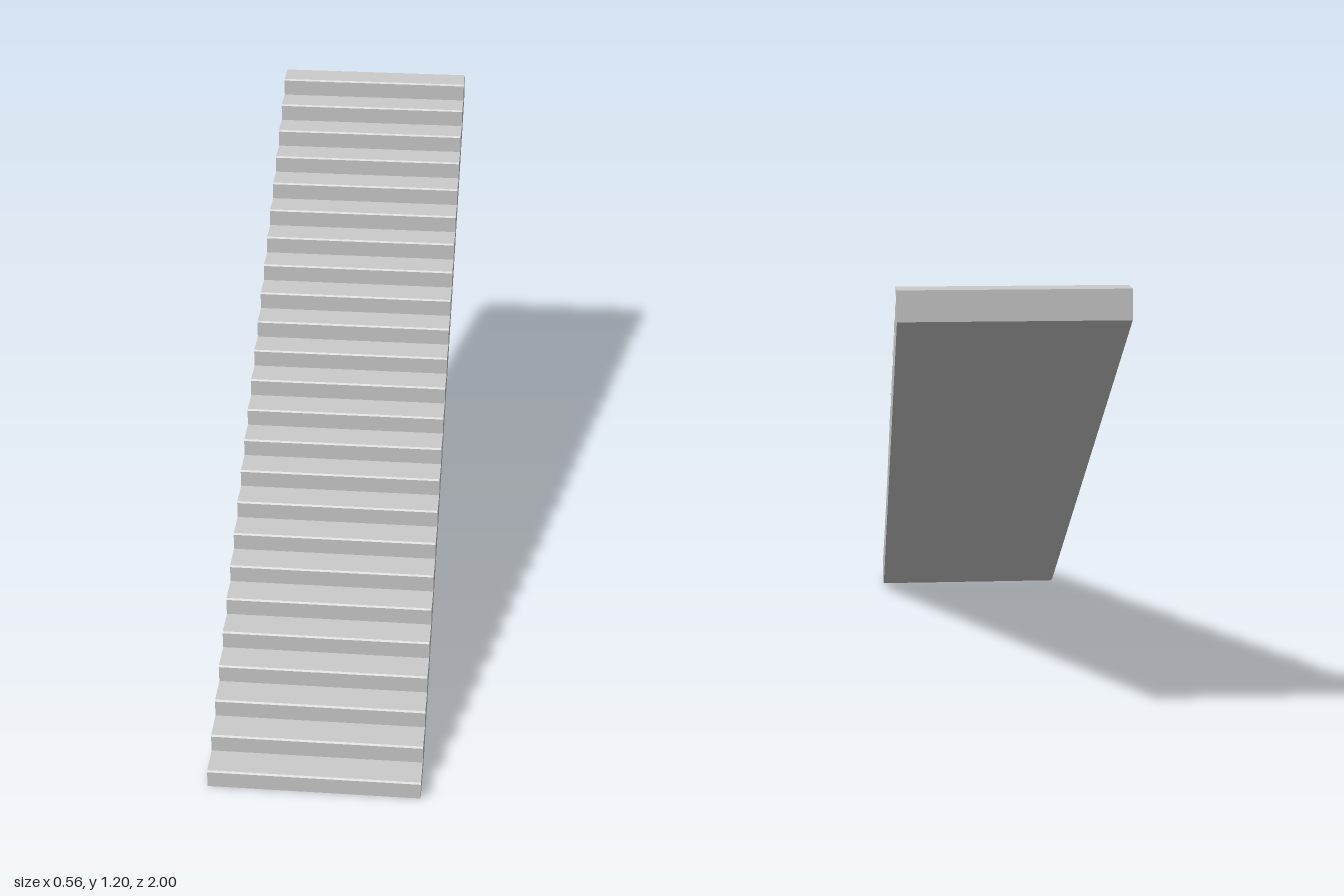
import * as THREE from 'three';

const STEPS = 24, RISE = 0.05, RUN = 2 / STEPS, WIDTH = 0.556, CHAMFER = 0.004;

// Side profile, drawn with shape x = model z and shape y = model y
function stairProfile() {
  const shape = new THREE.Shape();
  // Underside: flat foot, eased knee, long sloping soffit
  shape.moveTo(-1, 1.125);
  shape.lineTo(0.835, 0.026);
  shape.lineTo(0.91, 0.003);
  shape.lineTo(1, 0);
  // Steps from the foot upwards, each with a small bevelled nosing
  for (let i = 0; i < STEPS; i++) {
    const z = 1 - i * RUN, y = (i + 1) * RISE;
    shape.lineTo(z, y - CHAMFER);
    shape.lineTo(z - CHAMFER, y);
    shape.lineTo(z - RUN, y);
  }
  shape.closePath();
  return shape;
}

export function createModel() {
  const model = new THREE.Group();
  model.name = 'staircase';

  // Solid flight of steps, extruded across the width
  const geometry = new THREE.ExtrudeGeometry(stairProfile(), { depth: WIDTH, bevelEnabled: false });
  geometry.translate(0, 0, -WIDTH / 2);
  geometry.rotateY(-Math.PI / 2);

  const material = new THREE.MeshStandardMaterial({ color: 0xcccccc, flatShading: true });
  const flight = new THREE.Mesh(geometry, material);
  flight.name = 'stairFlight';
  model.add(flight);
  return model;
}
